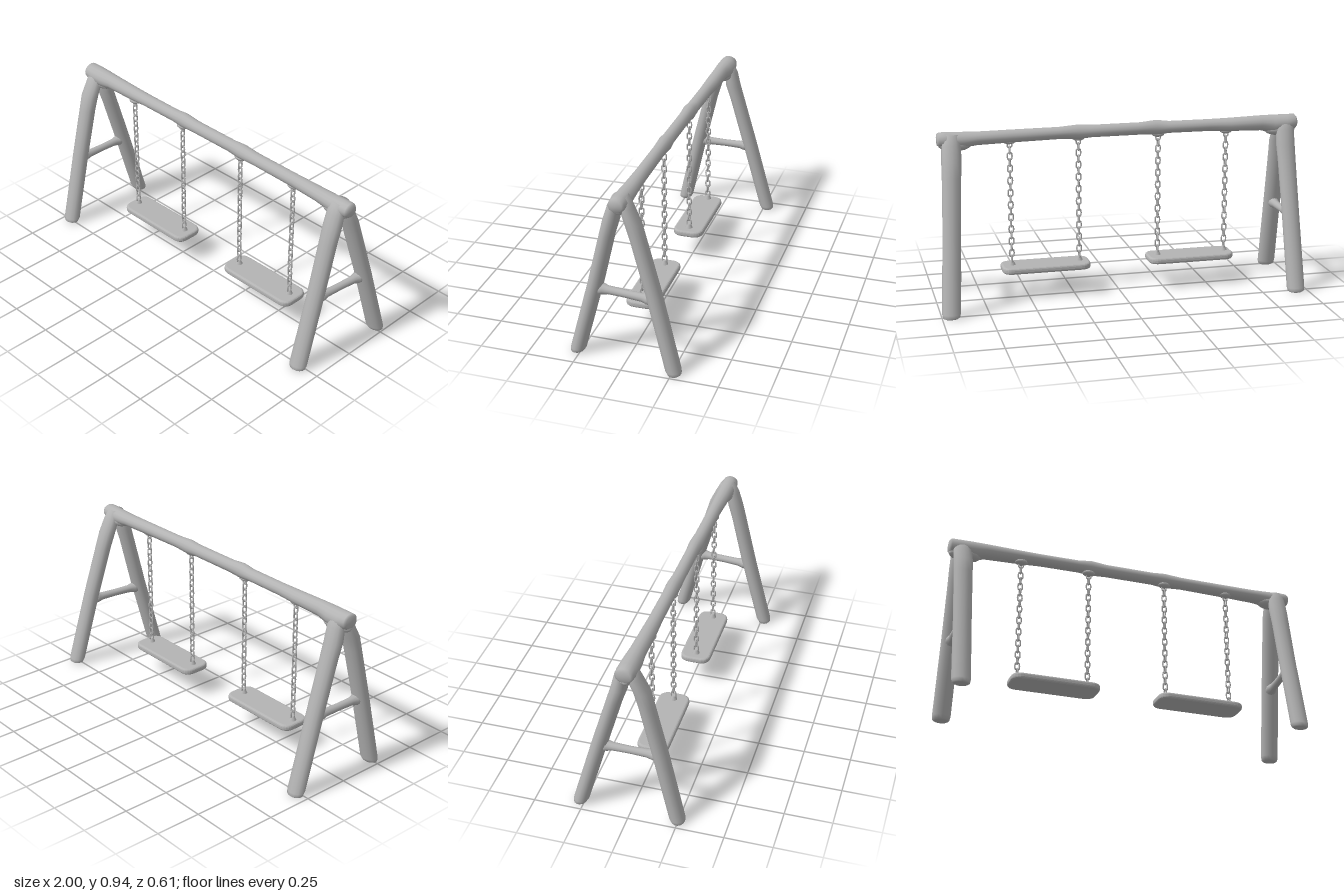
import * as THREE from 'three';

const grey = new THREE.MeshStandardMaterial({ color: 0xb3b3b3 });
grey.name = 'weathered grey';

function add(parent, name, geometry, x = 0, y = 0, z = 0) {
  const mesh = new THREE.Mesh(geometry, grey);
  mesh.name = name;
  mesh.position.set(x, y, z);
  parent.add(mesh);
  return mesh;
}

// Smooth log: elliptical rings square to one axis, listed in the + direction.
// Each section is [x, y, z, radiusU, radiusV]; (u, v, axis) are cyclic.
function log(axis, sections, sides = 14) {
  const u = (axis + 1) % 3, v = (axis + 2) % 3;
  const first = sections[0], last = sections[sections.length - 1];
  const rings = [[...first.slice(0, 3), 0, 0], ...sections, [...last.slice(0, 3), 0, 0]];
  const pos = [], index = [];
  rings.forEach((s, i) => {
    for (let j = 0; j < sides; j++) {
      const a = (j / sides) * Math.PI * 2;
      const p = [s[0], s[1], s[2]];
      p[u] += Math.cos(a) * s[3];
      p[v] += Math.sin(a) * s[4];
      pos.push(...p);
      if (i < rings.length - 1) {
        const k = (j + 1) % sides;
        const A = i * sides + j, B = i * sides + k;
        index.push(A, B, A + sides, B, B + sides, A + sides);
      }
    }
  });
  const g = new THREE.BufferGeometry();
  g.setAttribute('position', new THREE.Float32BufferAttribute(pos, 3));
  g.setIndex(index);
  g.computeVertexNormals();
  return g;
}

// Leg bowed slightly inwards, from a rounded foot up into the beam
function legGeometry(footX, footZ, topX, topZ) {
  const side = Math.sign(footZ);
  const at = (y, z, rx, rz) => {
    const t = y / 0.9;
    return [footX + (topX - footX) * t, y, z, rz, rx];
  };
  return log(1, [
    at(0, footZ, 0.036, 0.028),
    at(0.006, footZ, 0.045, 0.035),
    at(0.025, footZ - side * 0.006, 0.049, 0.04),
    at(0.42, side * 0.155 + 0.002, 0.048, 0.041),
    at(0.7, side * 0.08 + 0.01, 0.05, 0.04),
    at(0.78, side * 0.056 + 0.012, 0.052, 0.042),
    at(0.86, topZ + side * 0.03, 0.05, 0.036),
    at(0.91, topZ + side * 0.014, 0.04, 0.026),
  ]);
}

// One oval chain link standing upright in the xy plane
function linkGeometry() {
  const g = new THREE.TorusGeometry(0.0125, 0.0042, 6, 14);
  const p = g.attributes.position;
  for (let i = 0; i < p.count; i++) {
    const y = p.getY(i);
    p.setY(i, y + Math.sign(Math.round(y * 1e5)) * 0.008);
  }
  g.computeVertexNormals();
  return g;
}

// Rounded plank lying flat, y = 0 at its underside
function seatGeometry(w, d, h) {
  const b = 0.012, x = w / 2 - b, z = d / 2 - b, r = 0.045;
  const s = new THREE.Shape();
  s.moveTo(-x + r, -z);
  s.lineTo(x - r, -z);
  s.quadraticCurveTo(x, -z, x, -z + r);
  s.lineTo(x, z - r);
  s.quadraticCurveTo(x, z, x - r, z);
  s.lineTo(-x + r, z);
  s.quadraticCurveTo(-x, z, -x, z - r);
  s.lineTo(-x, -z + r);
  s.quadraticCurveTo(-x, -z, -x + r, -z);
  const g = new THREE.ExtrudeGeometry(s, {
    depth: h - 2 * b, bevelEnabled: true, bevelSize: b, bevelThickness: b,
    bevelSegments: 3, curveSegments: 6,
  });
  return g.rotateX(-Math.PI / 2).translate(0, b, 0);
}

export function createModel() {
  const model = new THREE.Group();
  model.name = 'swingSet';

  // Top beam, thick at the joints with small knots above the hangers
  add(model, 'topBeam', log(0, [
    [-1, 0.893, 0.0, 0.03, 0.036],
    [-0.99, 0.893, 0.0, 0.042, 0.047],
    [-0.94, 0.885, 0.0, 0.05, 0.052],
    [-0.87, 0.885, 0.002, 0.05, 0.05],
    [-0.8, 0.892, 0.004, 0.042, 0.043],
    [-0.62, 0.891, 0.007, 0.037, 0.04],
    [-0.5, 0.893, 0.008, 0.033, 0.036],
    [-0.28, 0.893, 0.01, 0.033, 0.035],
    [-0.21, 0.894, 0.011, 0.041, 0.038],
    [-0.12, 0.892, 0.012, 0.034, 0.034],
    [0.15, 0.891, 0.013, 0.034, 0.034],
    [0.22, 0.89, 0.013, 0.04, 0.039],
    [0.32, 0.889, 0.014, 0.033, 0.035],
    [0.6, 0.885, 0.015, 0.035, 0.036],
    [0.76, 0.882, 0.016, 0.036, 0.042],
    [0.86, 0.876, 0.018, 0.045, 0.046],
    [0.92, 0.88, 0.019, 0.044, 0.046],
    [0.955, 0.884, 0.02, 0.038, 0.042],
    [0.968, 0.884, 0.02, 0.03, 0.032],
  ]));

  // A-frames: [name, top x, top z, front foot x, z, back foot x, z, crossbar y]
  const frames = [
    ['rightFrame', -0.93, 0.0, -0.945, 0.25, -0.932, -0.272, 0.4],
    ['leftFrame', 0.893, 0.018, 0.883, 0.268, 0.953, -0.264, 0.385],
  ];
  for (const [name, tx, tz, fx, fz, bx, bz, cy] of frames) {
    const frame = new THREE.Group();
    frame.name = name;
    model.add(frame);
    add(frame, 'frontLeg', legGeometry(fx, fz, tx, tz));
    add(frame, 'backLeg', legGeometry(bx, bz, tx, tz));

    // Crossbar flared where it meets the legs
    const cx = (z) => THREE.MathUtils.lerp((bx + tx) / 2, (fx + tx) / 2, (z + 0.15) / 0.3);
    add(frame, 'crossbar', log(2, [
      [-0.15, 0.034], [-0.115, 0.029], [-0.09, 0.022], [0, 0.02],
      [0.09, 0.022], [0.12, 0.029], [0.155, 0.034],
    ].map(([z, r]) => [cx(z), cy, z, r, r]), 12));

    // Bulge under the beam where the legs join
    const joint = add(frame, 'joint', new THREE.SphereGeometry(1, 14, 10), tx - Math.sign(tx) * 0.02, 0.855, tz);
    joint.scale.set(0.09, 0.036, 0.045);
  }

  // Swings: [name, seat centre x, seat z, chain x positions]
  const link = linkGeometry();
  const pitch = 0.0333;
  const swings = [
    ['rightSwing', -0.405, 0.015, [-0.605, -0.222]],
    ['leftSwing', 0.403, 0.02, [0.217, 0.587]],
  ];
  for (const [name, sx, sz, chainXs] of swings) {
    const swing = new THREE.Group();
    swing.name = name;
    model.add(swing);
    add(swing, 'seat', seatGeometry(0.482, 0.17, 0.035), sx, 0.143, sz);

    for (const x of chainXs) {
      const chain = new THREE.Group();
      chain.name = 'chain';
      swing.add(chain);
      for (let i = 0; i < 20; i++) {
        const l = add(chain, 'link', link, x, 0.215 + i * pitch - 0.005, sz);
        if (i % 2 === 0) l.rotation.y = Math.PI / 2;
      }
      // Mount on the seat and hanger under the beam
      add(swing, 'seatMount', new THREE.CylinderGeometry(0.009, 0.022, 0.026, 10), x, 0.187, sz);
      const hanger = add(swing, 'hanger', new THREE.SphereGeometry(1, 12, 8), x, 0.858, sz);
      hanger.scale.set(0.036, 0.017, 0.026);
    }
  }
  return model;
}
